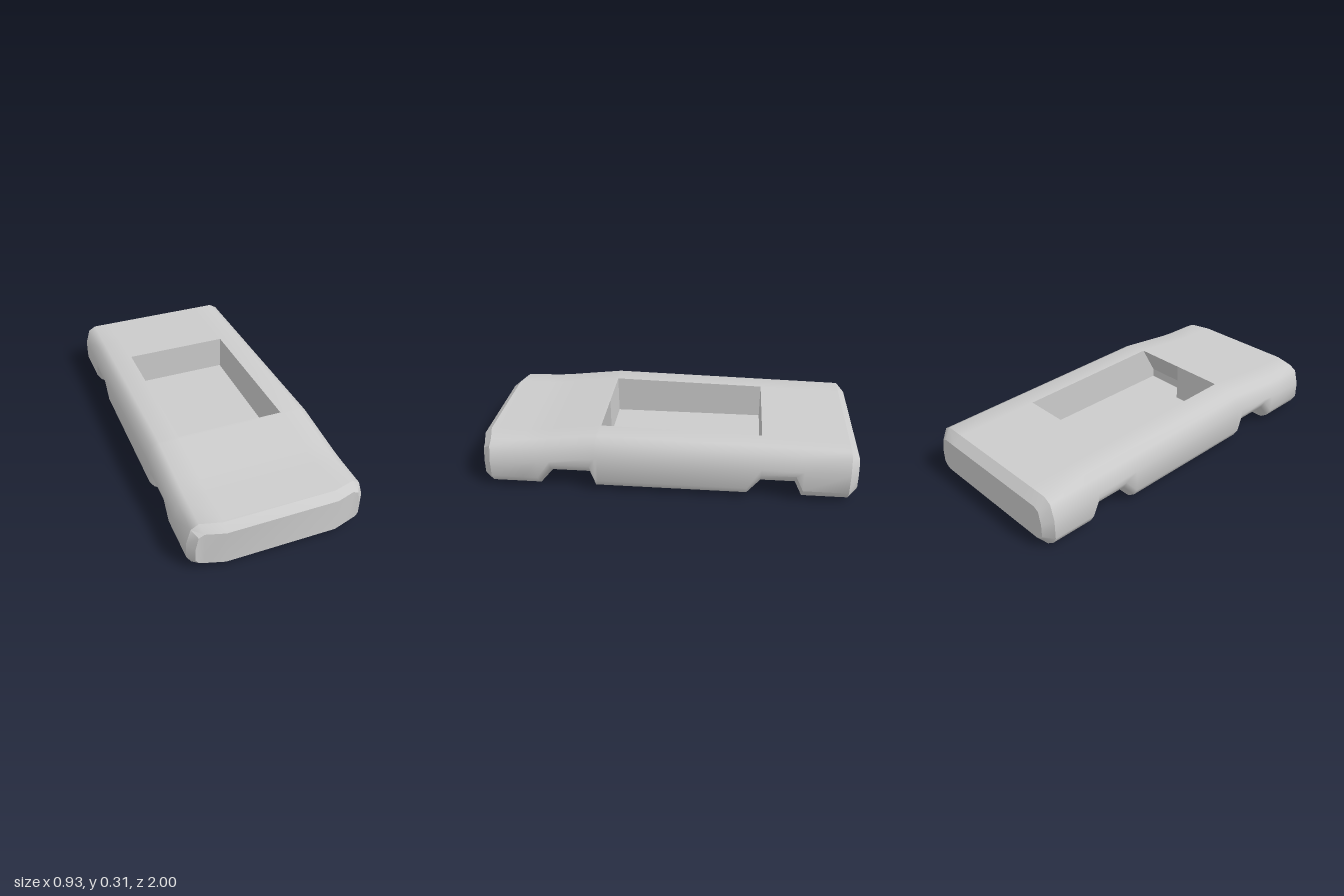
import * as THREE from 'three';
import { mergeVertices, toCreasedNormals } from 'three/addons/utils/BufferGeometryUtils.js';

const HALF_W = 0.29;               // half width of the cabin opening
const Z_BACK = -0.5, Z_FRONT = 0.355;
const FLOOR = 0.095;

// Interpolate a value along z from [z, value] pairs
function along(pairs, z) {
  for (let i = 0; i < pairs.length - 1; i++) {
    const [z0, v0] = pairs[i], [z1, v1] = pairs[i + 1];
    if (z <= z1) return v0 + (v1 - v0) * Math.max(0, (z - z0) / (z1 - z0));
  }
  return pairs[pairs.length - 1][1];
}

const roof = [[-0.955, 0.28], [Z_FRONT, 0.306], [0.68, 0.268], [0.76, 0.263], [0.96, 0.26]];
const belly = [
  [-0.72, 0], [-0.68, 0.085], [-0.5, 0.085], [-0.43, 0],
  [0.37, 0], [0.4, 0.085], [0.61, 0.085], [0.68, 0],
];

// Closed cross-section: right half from top to bottom, then its mirror
function ring(half, z, bend = 0) {
  const place = (s) => ([x, y]) =>
    new THREE.Vector3(s * x, y, z - bend * Math.min(1, Math.max(0, (x - HALF_W) / 0.1)));
  return [...half.map(place(1)), ...half.slice().reverse().map(place(-1))];
}

function bodyRing(z, bend) {
  const t = along(roof, z), b = along(belly, z);
  return ring([
    [HALF_W, t], [0.4, t], [0.44, t - 0.023], [0.464, t - 0.105],
    [0.464, b + 0.068], [0.44, b + 0.028], [0.4, b], [HALF_W, b],
  ], z, bend);
}

function endRing(w, t, b, z, bend) {
  return ring([
    [HALF_W, t], [w - 0.045, t], [w - 0.016, t - 0.015], [w, t - 0.085],
    [w, b + 0.032], [w - 0.016, b + 0.012], [w - 0.045, b], [HALF_W, b],
  ], z, bend);
}

// Collects quads and turns them into a geometry
class Quads {
  constructor() { this.pos = []; }
  add(a, b, c, d) {
    for (const p of [a, b, c, a, c, d]) this.pos.push(p.x, p.y, p.z);
  }
  bridge(r0, r1, skipTop = false) {
    const n = r0.length;
    for (let i = 0; i < n; i++) {
      if (skipTop && i === n - 1) continue;
      const j = (i + 1) % n;
      this.add(r0[i], r1[i], r1[j], r0[j]);
    }
  }
  cap(r, front) {
    const cols = [[3, 4], [2, 5], [1, 6], [0, 7], [15, 8], [14, 9], [13, 10], [12, 11]];
    if (!front) cols.reverse();
    for (let i = 0; i < cols.length - 1; i++) {
      const [t0, b0] = cols[i], [t1, b1] = cols[i + 1];
      this.add(r[t0], r[t1], r[b1], r[b0]);
    }
  }
  mesh(name, crease) {
    const g = new THREE.BufferGeometry();
    g.setAttribute('position', new THREE.Float32BufferAttribute(this.pos, 3));
    const m = new THREE.Mesh(
      toCreasedNormals(mergeVertices(g), crease),
      new THREE.MeshStandardMaterial({ color: 0xcccccc }));
    m.name = name;
    return m;
  }
}

export function createModel() {
  const group = new THREE.Group();
  group.name = 'carBody';

  // Main shell, with wheel channels underneath and an open cabin on top
  const zs = [-0.955, -0.72, -0.68, Z_BACK, -0.43, Z_FRONT, 0.37, 0.4, 0.61, 0.68, 0.76, 0.96];
  const rings = zs.map((z) => bodyRing(z, z > 0.9 ? 0.03 : 0));
  const shell = new Quads();
  for (let i = 0; i < rings.length - 1; i++) {
    shell.bridge(rings[i], rings[i + 1], zs[i] >= Z_BACK && zs[i + 1] <= Z_FRONT);
  }
  group.add(shell.mesh('shell', 0.87));

  // Bevelled ends
  const nose = new Quads();
  const noseFace = endRing(0.432, 0.226, 0.038, 1, 0.03);
  nose.bridge(rings[rings.length - 1], noseFace);
  nose.cap(noseFace, true);
  group.add(nose.mesh('noseEnd', 0.6));

  const tail = new Quads();
  const tailFace = endRing(0.42, 0.235, 0.05, -1);
  tail.bridge(tailFace, rings[0]);
  tail.cap(tailFace, false);
  group.add(tail.mesh('tailEnd', 0.6));

  // Cabin recess
  const v = (x, y, z) => new THREE.Vector3(x, y, z);
  const w = HALF_W, f = FLOOR, zb = Z_BACK, zf = Z_FRONT;
  const tb = along(roof, zb), tf = along(roof, zf);
  const cabin = new Quads();
  cabin.add(v(-w, f, zb), v(-w, f, zf), v(w, f, zf), v(w, f, zb));
  cabin.add(v(-w, f, zf), v(-w, f, zb), v(-w, tb, zb), v(-w, tf, zf));
  cabin.add(v(w, f, zb), v(w, f, zf), v(w, tf, zf), v(w, tb, zb));
  cabin.add(v(-w, f, zb), v(w, f, zb), v(w, tb, zb), v(-w, tb, zb));
  cabin.add(v(0, f, zf), v(-w, f, zf), v(-w, tf, zf), v(0, tf, zf));
  group.add(cabin.mesh('cabin', 0.3));

  // Footwell under the dashboard on the left half
  const zd = zf + 0.09, yd = 0.145;
  const well = new Quads();
  well.add(v(0, f, zf), v(0, f, zd), v(w, f, zd), v(w, f, zf));
  well.add(v(w, f, zd), v(0, f, zd), v(0, yd, zd), v(w, yd, zd));
  well.add(v(w, yd, zd), v(0, yd, zd), v(0, tf, zf), v(w, tf, zf));
  well.add(v(w, f, zf), v(w, f, zd), v(w, yd, zd), v(w, tf, zf));
  well.add(v(0, f, zd), v(0, f, zf), v(0, tf, zf), v(0, yd, zd));
  group.add(well.mesh('footwell', 0.3));

  return group;
}
